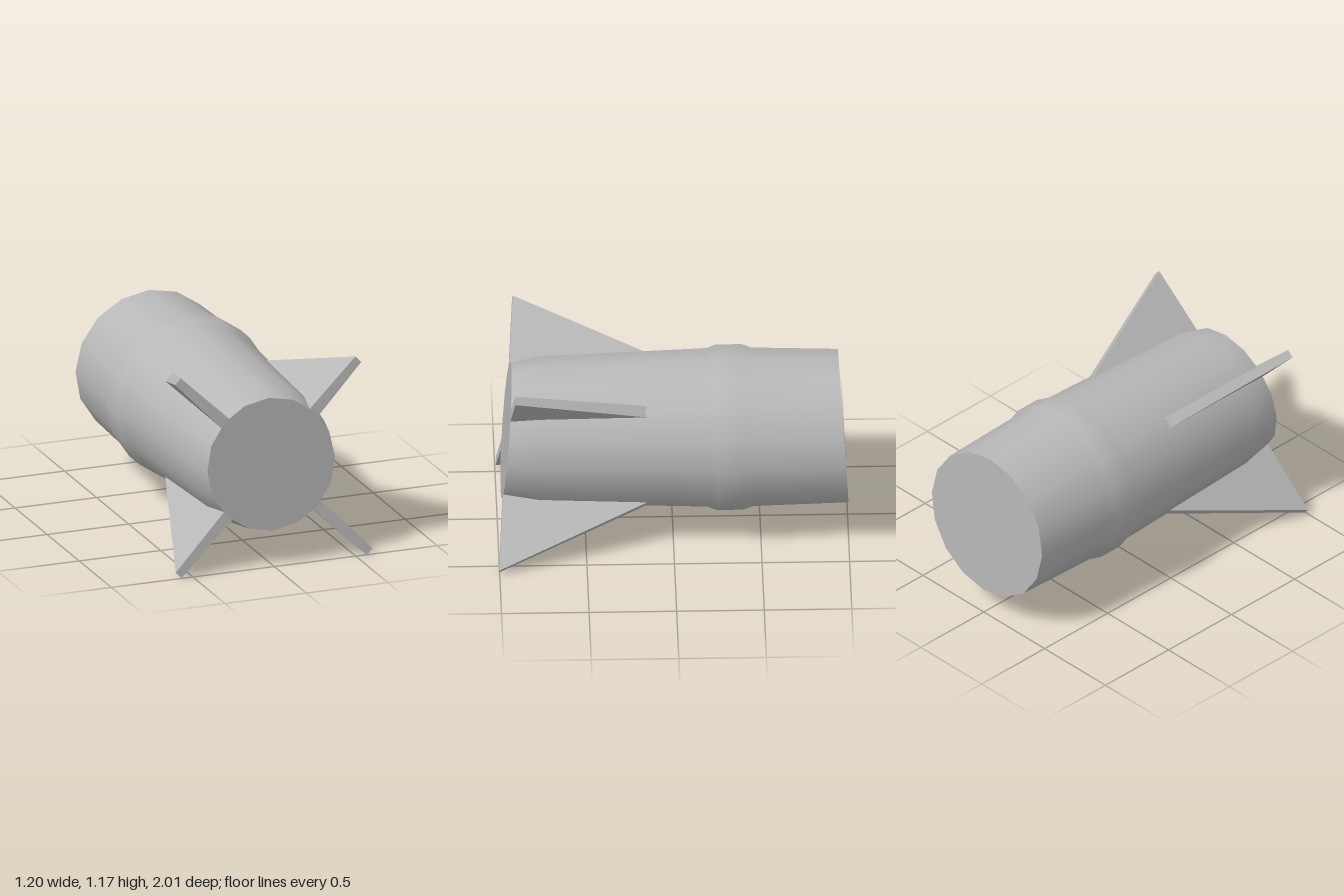
import * as THREE from 'three';
import { ConvexGeometry } from 'three/addons/geometries/ConvexGeometry.js';

const AXIS_Y = 0.605;
const SIDES = 16;

// The two end faces lean slightly: z as a function of x and height above the axis
const frontZ = (x, y) => 0.95 - 0.083 * y + 0.008 * x;
const backZ = (x, y) => -0.975 + 0.056 * y - 0.017 * x;

// Moves every vertex at or beyond an end onto that end's leaning plane
function leanEnds(geometry) {
  const p = geometry.attributes.position;
  for (let i = 0; i < p.count; i++) {
    const x = p.getX(i), y = p.getY(i), z = p.getZ(i);
    if (z > 0.9) p.setZ(i, frontZ(x, y));
    if (z < -0.9) p.setZ(i, backZ(x, y));
  }
  return geometry;
}

// Tapered plate standing on a diagonal; sx and sy choose the quadrant
function finGeometry(sx, sy, tipRadius) {
  const points = [];
  const add = (radius, side, z) => {
    const x = sx * (radius - side) * Math.SQRT1_2;
    const y = sy * (radius + side) * Math.SQRT1_2;
    points.push(new THREE.Vector3(x, y, z ?? frontZ(x, y)));
  };
  for (const s of [-1, 1]) {
    add(0.438, s * 0.033, 0.145); // pointed rear end
    add(0.383, s * 0.035);        // root at the front face
    add(tipRadius, s * 0.025);    // outer tip
  }
  return new ConvexGeometry(points);
}

export function createModel() {
  const model = new THREE.Group();
  model.name = 'finnedCylinder';
  const grey = new THREE.MeshStandardMaterial({ color: 0xb8b8b8 });
  grey.name = 'grey';

  const add = (name, geometry) => {
    const mesh = new THREE.Mesh(geometry, grey);
    mesh.name = name;
    mesh.position.y = AXIS_Y;
    model.add(mesh);
  };

  // Body with a raised band, [radius, z] from back to front
  const profile = [
    [0.445, -0.975], [0.46, -0.455], [0.48, -0.4], [0.48, -0.25],
    [0.46, -0.2], [0.425, 0.77], [0.39, 0.95],
  ].map(([r, z]) => new THREE.Vector2(r, z));
  add('body', leanEnds(new THREE.LatheGeometry(profile, SIDES).rotateX(Math.PI / 2)));

  // End faces
  add('frontCap', leanEnds(new THREE.CircleGeometry(0.39, SIDES).translate(0, 0, 0.95)));
  add('backCap', leanEnds(new THREE.CircleGeometry(0.445, SIDES).rotateY(Math.PI).translate(0, 0, -0.975)));

  // Four diagonal fins, the lower pair a little longer
  for (const sx of [-1, 1]) {
    const side = sx > 0 ? 'Left' : 'Right';
    add('upper' + side + 'Fin', finGeometry(sx, 1, 0.78));
    add('lower' + side + 'Fin', finGeometry(sx, -1, 0.826));
  }
  return model;
}
